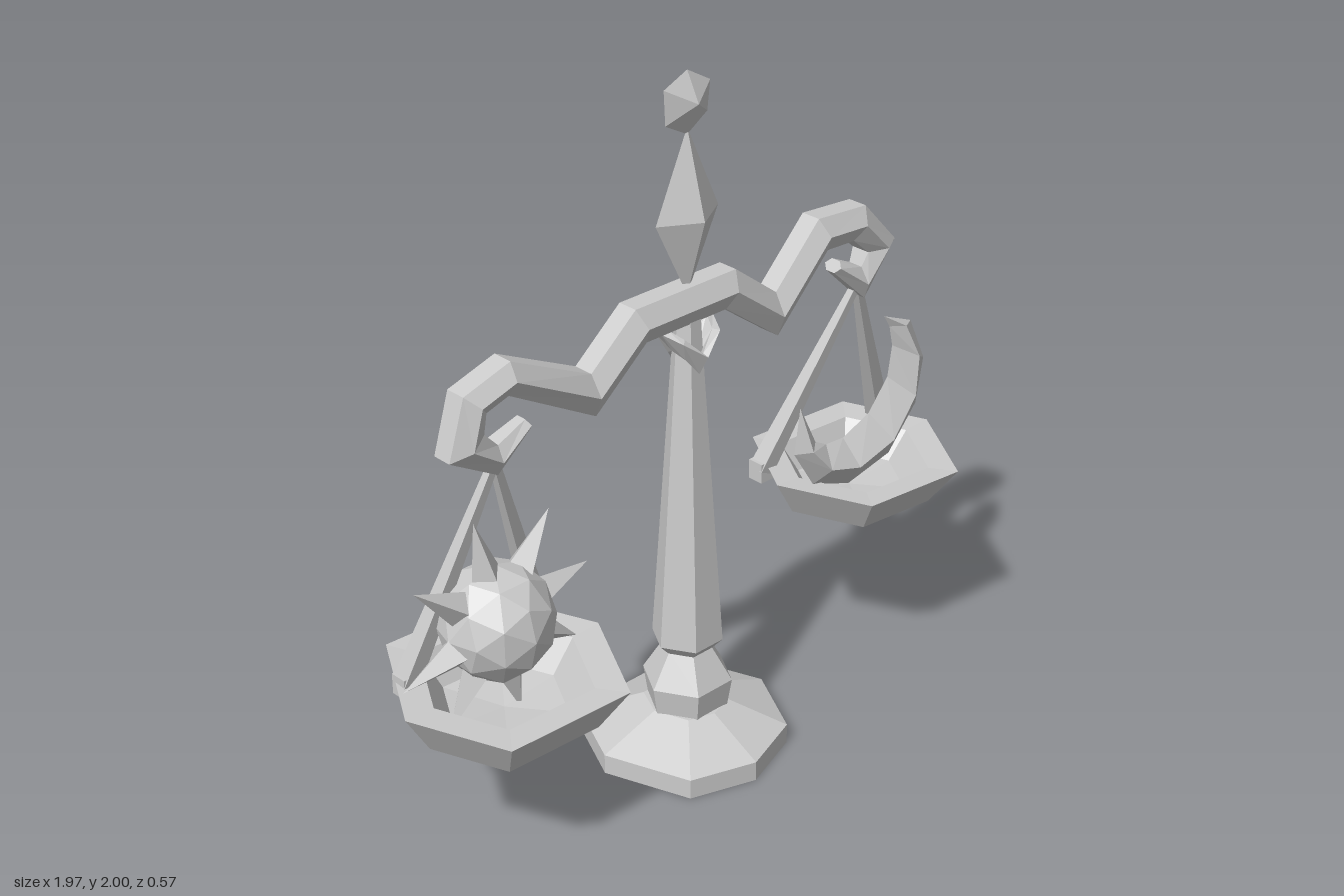
import * as THREE from 'three';

const V = (x, y, z) => new THREE.Vector3(x, y, z);
const material = new THREE.MeshStandardMaterial({ color: 0xcccccc, flatShading: true });

function part(parent, name, geometry) {
  const mesh = new THREE.Mesh(geometry, material);
  mesh.name = name;
  parent.add(mesh);
  return mesh;
}

// Skin a row of equal-sized rings into a solid; capped at both ends or closed into a loop.
function loft(rings, closed = false) {
  const tris = [];
  const n = rings[0].length;
  const add = (a, b, c) => {
    if (b.clone().sub(a).cross(c.clone().sub(a)).lengthSq() > 1e-14) tris.push([a, b, c]);
  };
  const last = closed ? rings.length : rings.length - 1;
  for (let i = 0; i < last; i++) {
    const A = rings[i], B = rings[(i + 1) % rings.length];
    for (let j = 0; j < n; j++) {
      const k = (j + 1) % n;
      add(A[j], A[k], B[k]);
      add(A[j], B[k], B[j]);
    }
  }
  if (!closed) {
    const cap = (ring, flip) => {
      const c = ring.reduce((s, p) => s.add(p), V(0, 0, 0)).divideScalar(n);
      ring.forEach((p, j) => {
        const q = ring[(j + 1) % n];
        flip ? add(c, q, p) : add(c, p, q);
      });
    };
    cap(rings[0], true);
    cap(rings[rings.length - 1], false);
  }
  // Turn the faces outward
  const volume = tris.reduce((s, [a, b, c]) => s + a.dot(b.clone().cross(c)), 0);
  if (volume < 0) tris.forEach((t) => t.reverse());
  const g = new THREE.BufferGeometry().setFromPoints(tris.flat());
  g.computeVertexNormals();
  return g;
}

// Stack scaled copies of an [x, z] outline; levels are [scale, y]
const stack = (outline, levels) =>
  loft(levels.map(([s, y]) => outline.map(([x, z]) => V(x * s, y, z * s))));

const polygon = (n, rx = 1, rz = rx) => Array.from({ length: n }, (_, i) => {
  const a = (i / n) * Math.PI * 2;
  return [Math.cos(a) * rx, Math.sin(a) * rz];
});

// Mitred bar with a six-sided section along [x, y, halfHeight, halfDepth] points
function bar(path) {
  return loft(path.map(([x, y, h, d], i) => {
    const p = new THREE.Vector2(x, y);
    const at = (k) => new THREE.Vector2(path[k][0], path[k][1]);
    const d0 = i > 0 ? p.clone().sub(at(i - 1)).normalize() : null;
    const d1 = i < path.length - 1 ? at(i + 1).sub(p).normalize() : null;
    const t = (d0 && d1 ? d0.clone().add(d1) : (d0 || d1).clone()).normalize();
    const miter = 1 / Math.max(0.6, t.dot(d0 || d1));
    return [[0, 1], [1, 0.5], [1, -0.5], [0, -1], [-1, -0.5], [-1, 0.5]].map(([v, w]) =>
      V(x - t.y * v * h * miter, y + t.x * v * h * miter, w * d));
  }));
}

// Hexagonal hollow bowl with its rim centre at the origin
function bowl(outline, depth) {
  return stack(outline, [
    [0, -depth], [0.76, -depth * 0.55], [1, 0], [0.72, -0.005], [0.52, -depth * 0.42], [0, -depth * 0.5],
  ]);
}

// Tapered square strap from the hook down to the pan rim
function strap(from, to) {
  const dir = to.clone().sub(from).normalize();
  const side = V(0, 0, 1).cross(dir).normalize();
  const up = dir.clone().cross(side);
  const ring = (p, r) => [[1, 1], [-1, 1], [-1, -1], [1, -1]].map(([a, b]) =>
    p.clone().addScaledVector(side, a * r).addScaledVector(up, b * r));
  return loft([ring(from, 0.01), ring(to, 0.026)]);
}

export function createModel() {
  const model = new THREE.Group();
  model.name = 'balanceScale';

  // Base, knob and column
  const baseOutline = [[-0.01, 0.285], [0.18, 0.22], [0.29, 0.01], [0.22, -0.18],
    [0.1, -0.25], [-0.19, -0.25], [-0.29, -0.03], [-0.2, 0.22]];
  part(model, 'base', stack(baseOutline, [[1, 0], [1, 0.06], [0.4, 0.135]]));
  const hex = polygon(6);
  part(model, 'knob', stack(hex, [[0.115, 0.12], [0.13, 0.215], [0.07, 0.315]]));
  part(model, 'column', stack(hex, [[0.07, 0.31], [0.102, 0.345], [0.045, 1.2], [0.035, 1.36]]));

  // Flared collar whose two sides sweep up
  part(model, 'collar', loft(polygon(8).map(([c, s]) => {
    const lift = 0.07 * Math.abs(c);
    return [[0.055, 1.175], [0.093, 1.235], [0.07, 1.24], [0.035, 1.2]].map(([r, y]) =>
      V(c * r, y + lift, s * r * 0.85));
  }), true));

  // Finial
  part(model, 'finialSpindle', stack(polygon(4, 0.11, 0.065), [[0.05, 1.4], [1, 1.61], [0, 1.85]]));
  const gem = [[0, 2], [0.08, 1.955], [0.07, 1.875], [0, 1.83], [-0.075, 1.87], [-0.08, 1.965]];
  part(model, 'finialGem', loft([[0, -0.042], [1, 0], [0, 0.042]].map(([s, z]) =>
    gem.map(([x, y]) => V(x * s, 1.92 + (y - 1.92) * s, z)))));

  // Beam with a hook at either end
  part(model, 'beam', bar([
    [-0.56, 1.225, 0.018, 0.03], [-0.665, 1.165, 0.035, 0.045], [-0.765, 1.235, 0.048, 0.058],
    [-0.735, 1.345, 0.042, 0.06], [-0.625, 1.378, 0.042, 0.06], [-0.355, 1.235, 0.052, 0.06],
    [-0.19, 1.372, 0.052, 0.06], [0.13, 1.372, 0.052, 0.06], [0.305, 1.242, 0.05, 0.06],
    [0.48, 1.42, 0.05, 0.06], [0.625, 1.41, 0.048, 0.06], [0.72, 1.315, 0.042, 0.058],
    [0.655, 1.22, 0.035, 0.045], [0.555, 1.295, 0.018, 0.03],
  ]));

  // Pans
  const pans = [
    { name: 'rightPan', x: -0.655, y: 0.53, depth: 0.235, tilt: 0.07, roll: 0, hook: V(-0.66, 1.15, 0),
      ends: [V(-0.875, 0.53, -0.13), V(-0.425, 0.53, -0.13)],
      rim: [[0.325, 0], [0.185, 0.28], [-0.2, 0.265], [-0.325, 0], [-0.165, -0.285], [0.195, -0.265]] },
    { name: 'leftPan', x: 0.665, y: 0.665, depth: 0.205, tilt: 0.06, roll: -0.03, hook: V(0.655, 1.21, 0),
      ends: [V(0.41, 0.665, -0.12), V(0.905, 0.66, -0.12)],
      rim: [[0.325, 0], [0.165, 0.26], [-0.175, 0.235], [-0.305, -0.01], [-0.165, -0.245], [0.205, -0.23]] },
  ];
  for (const p of pans) {
    const pan = part(model, p.name, bowl(p.rim, p.depth));
    pan.position.set(p.x, p.y, 0);
    pan.rotation.set(p.tilt, 0, p.roll);
    p.ends.forEach((end) => {
      part(model, p.name + 'Strap', strap(p.hook, end));
      part(model, p.name + 'StrapEnd', new THREE.BoxGeometry(0.05, 0.06, 0.05)).position.copy(end);
    });
  }

  // Spiked sun ball
  const sun = new THREE.Group();
  sun.name = 'sun';
  sun.position.set(-0.675, 0.695, 0);
  model.add(sun);
  part(sun, 'sunBall', new THREE.IcosahedronGeometry(0.165, 1)).scale.set(0.95, 1, 0.95);
  [8, 54, 101, 144, 195, 238, 283, 328].forEach((deg) => {
    const a = THREE.MathUtils.degToRad(deg);
    const spike = part(sun, 'sunSpike', new THREE.ConeGeometry(0.055, 0.2, 4));
    spike.position.set(Math.cos(a) * 0.215, Math.sin(a) * 0.215, 0);
    spike.rotation.z = a - Math.PI / 2;
  });

  // Crescent moon: outer and inner edge points with a ridge on each face
  const moon = [
    [0.39, 0.93, 0.39, 0.93, 0], [0.37, 0.79, 0.455, 0.8, 0.035], [0.45, 0.665, 0.5, 0.775, 0.05],
    [0.6, 0.61, 0.57, 0.77, 0.058], [0.77, 0.645, 0.675, 0.81, 0.06], [0.88, 0.77, 0.75, 0.9, 0.055],
    [0.905, 0.91, 0.765, 0.995, 0.045], [0.84, 1.05, 0.75, 1.06, 0.025], [0.725, 1.1, 0.725, 1.1, 0],
  ];
  part(model, 'crescentMoon', loft(moon.map(([ox, oy, ix, iy, d]) => {
    const mx = (ox + ix) / 2, my = (oy + iy) / 2, z = 0.045;
    return [V(ox, oy, z), V(mx, my, z + d), V(ix, iy, z), V(mx, my, z - d)];
  })));

  return model;
}
